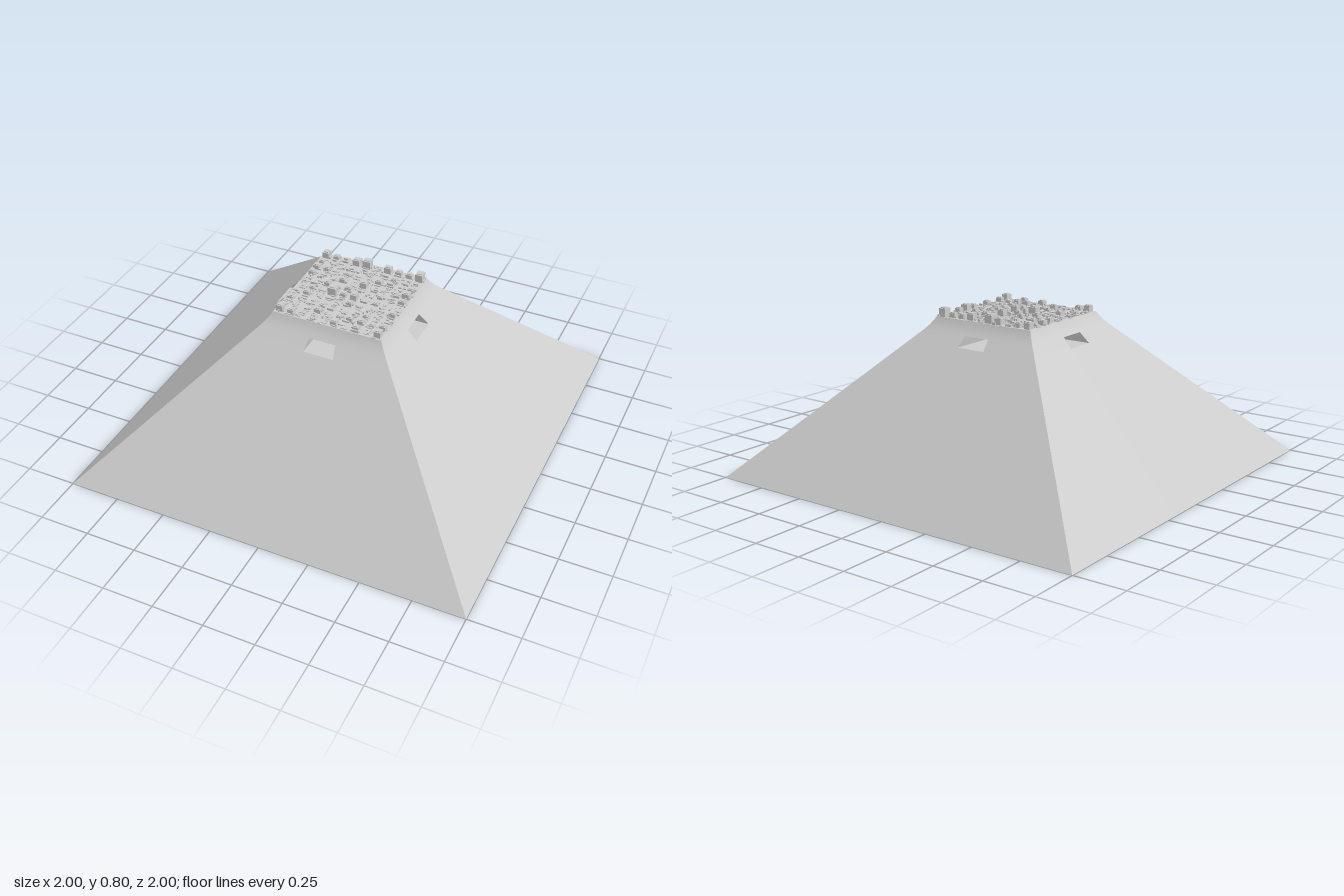
import * as THREE from 'three';
import { mergeGeometries, mergeVertices } from 'three/addons/utils/BufferGeometryUtils.js';

const material = new THREE.MeshStandardMaterial({ color: 0xcccccc });

// Levels of the sloping wall: [half width, height, half width of the window column]
const LEVELS = [
  [1, 0, 0.2], [0.365, 0.647, 0.075], [0.318, 0.695, 0.067],
  [0.299, 0.717, 0.062], [0.284, 0.738, 0.058], [0.274, 0.757, 0.055],
];
const WINDOW = 1; // the band between levels 1 and 2 holds the opening
const ROOF = 0.757;
const ROOF_HALF = 0.274;

// Geometry from four-cornered faces, corners counter-clockwise
function fromQuads(quads) {
  const g = new THREE.BufferGeometry();
  const pos = quads.flatMap(([a, b, c, d]) => [a, b, c, a, c, d]).flat();
  g.setAttribute('position', new THREE.Float32BufferAttribute(pos, 3));
  return g;
}

function mesh(name, geometry) {
  const m = new THREE.Mesh(geometry, material);
  m.name = name;
  return m;
}

// One sloping side facing +z, with its window left open
function wallGeometry() {
  const quads = [];
  for (let i = 0; i < LEVELS.length - 1; i++) {
    const row = ([r, y, w]) => [-r, -w, w, r].map((x) => [x, y, r]);
    const low = row(LEVELS[i]), high = row(LEVELS[i + 1]);
    for (let k = 0; k < 3; k++) {
      if (i === WINDOW && k === 1) continue;
      quads.push([low[k], low[k + 1], high[k + 1], high[k]]);
    }
  }
  const g = mergeVertices(fromQuads(quads), 1e-5);
  g.computeVertexNormals();
  return g;
}

// One arm of the crossing passages, from the centre out to the +z window
function passageGeometry() {
  const [r0, y0, w0] = LEVELS[WINDOW], [r1, y1, w1] = LEVELS[WINDOW + 1];
  const right = [[w0, y0, w0], [w0, y0, r0], [w1, y1, r1], [w1, y1, w1]];
  const left = right.map(([x, y, z]) => [-x, y, z]).reverse();
  const slab = (r, y, w) => [
    [[-w, y, w], [-w, y, r], [w, y, r], [w, y, w]],
    [[0, y, 0], [-w, y, w], [w, y, w], [0, y, 0]],
  ];
  const floor = slab(r0, y0, w0);
  const ceiling = slab(r1, y1, w1).map((q) => q.reverse());
  const g = fromQuads([right, left, ...floor, ...ceiling]);
  g.computeVertexNormals();
  return g;
}

// Horizontal square, facing up or down
function square(half, y, up) {
  const g = new THREE.PlaneGeometry(2 * half, 2 * half);
  g.rotateX(up ? -Math.PI / 2 : Math.PI / 2);
  return g.translate(0, y, 0);
}

function seeded(seed) {
  return () => {
    seed = (seed * 16807) % 2147483647;
    return seed / 2147483647;
  };
}

// Block standing on the roof
function block(x, z, w, d, h, base = ROOF) {
  return new THREE.BoxGeometry(w, h, d).translate(x, base + h / 2, z);
}

// Rooftop blocks: rows run from back to front, digits are heights
const PLAN = [
  '3203403224',
  '1000000100',
  '2201012002',
  '2102030013',
  '0020200102',
  '0104230100',
  '0200020002',
  '1001000100',
  '0002012212',
  '3200020203',
];

function addRooftop(group) {
  const rand = seeded(4711);
  const cell = (2 * ROOF_HALF) / PLAN.length;
  const blocks = [], plates = [];
  PLAN.forEach((row, j) => [...row].forEach((digit, i) => {
    const x = -ROOF_HALF + (i + 0.5) * cell;
    const z = -ROOF_HALF + (j + 0.5) * cell;
    const level = Number(digit);
    if (level) {
      // Main block with a smaller cap
      const h = 0.009 * level + 0.003;
      const w = 0.016 + 0.005 * level + 0.006 * rand();
      const d = 0.016 + 0.005 * level + 0.006 * rand();
      blocks.push(block(x, z, w, d, h));
      blocks.push(block(x, z, w * 0.65, d * 0.65, 0.004, ROOF + h));
    }
    // Low strips and plates filling the cell
    for (let k = 0; k < 7; k++) {
      const long = 0.012 + 0.022 * rand(), thin = 0.004 + 0.009 * rand();
      const [w, d] = rand() < 0.5 ? [long, thin] : [thin, long];
      const px = x + (rand() - 0.5) * (cell - w);
      const pz = z + (rand() - 0.5) * (cell - d);
      plates.push(block(px, pz, w, d, 0.003 + 0.009 * rand() ** 2));
    }
  }));
  group.add(mesh('rooftopBlocks', mergeGeometries(blocks)));
  group.add(mesh('rooftopPlates', mergeGeometries(plates)));
}

export function createModel() {
  const model = new THREE.Group();
  model.name = 'truncatedPyramid';

  // Four identical sides, each with its window passage
  const wall = wallGeometry(), passage = passageGeometry();
  ['front', 'left', 'back', 'right'].forEach((side, i) => {
    const group = new THREE.Group();
    group.name = side + 'Side';
    group.add(mesh(side + 'Wall', wall), mesh(side + 'Passage', passage));
    group.rotation.y = (i * Math.PI) / 2;
    model.add(group);
  });

  model.add(mesh('underside', square(1, 0, false)));
  model.add(mesh('roof', square(ROOF_HALF, ROOF, true)));
  addRooftop(model);
  return model;
}
